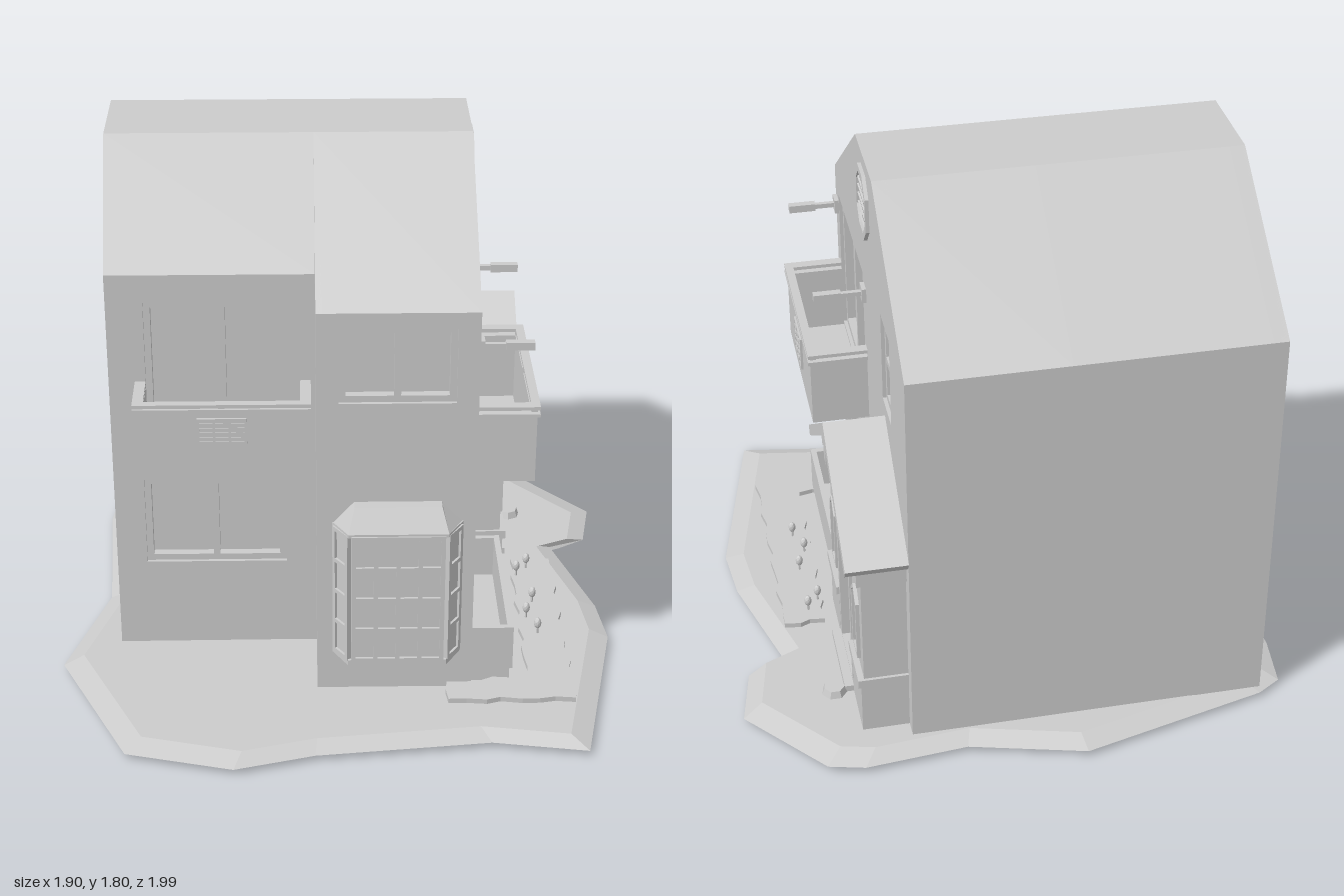
import * as THREE from 'three';

const mat = new THREE.MeshStandardMaterial({ color: 0xcccccc, flatShading: true, side: THREE.DoubleSide });

function add(parent, name, geo) {
  const m = new THREE.Mesh(geo, mat);
  m.name = name;
  parent.add(m);
  return m;
}
// Box given by its limits
function box(parent, name, x0, x1, y0, y1, z0, z1) {
  const m = add(parent, name, new THREE.BoxGeometry(x1 - x0, y1 - y0, z1 - z0));
  m.position.set((x0 + x1) / 2, (y0 + y1) / 2, (z0 + z1) / 2);
  return m;
}
const vecs = pts => pts.map(p => new THREE.Vector2(...p));
const rect = (x0, x1, y0, y1) => [[x0, y0], [x1, y0], [x1, y1], [x0, y1]];

// Plate in the XY plane from z0 to z1, with holes given as outlines
function plate(parent, name, pts, z0, z1, holes = []) {
  const s = new THREE.Shape(vecs(pts));
  holes.forEach(h => s.holes.push(new THREE.Path(vecs(h))));
  const g = new THREE.ExtrudeGeometry(s, { depth: z1 - z0, bevelEnabled: false });
  g.translate(0, 0, z0);
  return add(parent, name, g);
}
// A group lying on a wall: its local +z points out of the wall
function face(root, name, x, z, turn) {
  const g = new THREE.Group();
  g.name = name;
  g.position.set(x, 0, z);
  g.rotation.y = turn;
  root.add(g);
  return g;
}
// Frame with cols x rows openings over a back panel
function lattice(parent, name, x0, x1, y0, y1, cols, rows, bar, zBack, zFront) {
  const g = new THREE.Group();
  g.name = name;
  parent.add(g);
  const w = (x1 - x0 - bar) / cols, h = (y1 - y0 - bar) / rows, holes = [];
  for (let i = 0; i < cols; i++) for (let j = 0; j < rows; j++)
    holes.push(rect(x0 + bar + i * w, x0 + (i + 1) * w, y0 + bar + j * h, y0 + (j + 1) * h));
  plate(g, 'frame', rect(x0, x1, y0, y1), zBack, zFront, holes);
  box(g, 'panel', x0, x1, y0, y1, zBack - 0.005, zBack + 0.004);
  return g;
}
const wallWindow = (p, n, r, cols, rows = 1) => lattice(p, n, ...r, cols, rows, 0.022, -0.045, -0.012);

// Open balcony with floor, parapet, handrail, posts and a grille
function balcony(parent, x0, x1, y0, y1, d, top, gr) {
  const g = new THREE.Group(), t = 0.02;
  g.name = 'balcony';
  parent.add(g);
  box(g, 'floor', x0, x1, y0, y0 + t, 0, d);
  box(g, 'parapetFront', x0, x1, y0, y1, d - t, d);
  for (const x of [x0, x1 - t]) box(g, 'parapetSide', x, x + t, y0, y1, 0, d);
  for (const [a, b] of [[y1 - 0.004, y1 + 0.008], [top - 0.012, top]]) {
    box(g, 'railFront', x0 - 0.015, x1 + 0.015, a, b, d - t, d + 0.008);
    for (const x of [x0 - 0.015, x1 - t]) box(g, 'railSide', x, x + t + 0.015, a, b, 0, d);
  }
  for (const x of [x0, (x0 + x1) / 2 - 0.01, x1 - t]) box(g, 'railPost', x, x + t, y1, top, d - t, d);
  lattice(g, 'grille', ...gr, 3, 5, 0.008, d + 0.001, d + 0.008);
}
// Octagonal vent with slats
function vent(parent, x, y, rx, ry, z, slats) {
  const oct = k => [[-.45, -1], [.45, -1], [1, -.5], [1, .5], [.45, 1], [-.45, 1], [-1, .5], [-1, -.5]]
    .map(([a, b]) => [x + a * rx * k, y + b * ry * k]);
  plate(parent, 'ventFrame', oct(1), z, z + 0.012, [oct(0.8)]);
  for (let i = 0; i < slats; i++) {
    const v = -0.66 + 1.32 * i / (slats - 1), w = rx * (Math.abs(v) > 0.5 ? 0.5 : 0.76);
    box(parent, 'ventSlat', x - w, x + w, y + v * ry - ry * 0.1, y + v * ry + ry * 0.1, z, z + 0.006).rotation.x = 0.3;
  }
}
// Strip swept along x through a (z, y) profile
function roofStrip(parent, name, x0, x1, prof) {
  const p = [];
  for (let i = 0; i < prof.length - 1; i++) {
    const [za, ya] = prof[i], [zb, yb] = prof[i + 1];
    p.push(x0, ya, za, x0, yb, zb, x1, yb, zb, x0, ya, za, x1, yb, zb, x1, ya, za);
  }
  const g = new THREE.BufferGeometry();
  g.setAttribute('position', new THREE.Float32BufferAttribute(p, 3));
  g.computeVertexNormals();
  add(parent, name, g);
}
// Irregular ground slab: rings of one outline at several scales and heights
function ground(parent) {
  const o = [[-.13, -1], [.25, -.9], [.59, -.93], [.71, -.9], [.95, -.62], [.91, -.41], [.78, -.36], [.9, .05], [.92, .25],
    [.78, .91], [.47, .86], [-.1, .92], [-.36, .99], [-.71, .9], [-.95, .39], [-.82, -.04], [-.86, -.6], [-.84, -.79], [-.76, -.84]];
  const rings = [[0, .045], [.93, .042], [1, .02], [.9, .01], [0, .01]], p = [];
  const at = (r, i) => { const [x, z] = o[i % o.length]; return [x * rings[r][0], rings[r][1], z * rings[r][0]]; };
  for (let r = 0; r < rings.length - 1; r++) for (let i = 0; i < o.length; i++) {
    if (r > 0) p.push(...at(r, i), ...at(r, i + 1), ...at(r + 1, i));
    if (r < 3) p.push(...at(r, i + 1), ...at(r + 1, i + 1), ...at(r + 1, i));
  }
  const g = new THREE.BufferGeometry();
  g.setAttribute('position', new THREE.Float32BufferAttribute(p, 3));
  g.computeVertexNormals();
  add(parent, 'ground', g);
}

export function createModel() {
  const root = new THREE.Group();
  root.name = 'house';
  ground(root);

  // Roof
  roofStrip(root, 'rightRoof', -0.09, 0.42, [[-.83, 1.41], [-.29, 1.8], [.03, 1.8], [.57, 1.41]]);
  roofStrip(root, 'leftRoof', -0.76, -0.09, [[-.83, 1.41], [-.29, 1.8], [.03, 1.8], [.28, 1.415]]);
  box(root, 'backWall', -0.76, 0.42, 0.04, 1.41, -0.83, -0.8);

  // Front of the left wing
  const fl = face(root, 'leftWingFront', 0, 0.28, 0);
  const lw = [-.66, -.19, .36, .675], lu = [-.64, -.14, .87, 1.32];
  plate(fl, 'wall', rect(-.76, -.09, .04, 1.415), -0.05, 0, [rect(...lw), rect(...lu)]);
  wallWindow(fl, 'lowerWindow', lw, 2);
  wallWindow(fl, 'balconyDoor', lu, 2);
  balcony(fl, -.66, -.12, .85, 1.015, .165, 1.04, [-.47, -.31, .9, .99]);

  // Front of the right wing with its bay window
  const fr = face(root, 'rightWingFront', 0, 0.57, 0);
  const uw = [-.02, .35, 1.1, 1.36];
  plate(fr, 'wall', rect(-.09, .42, .04, 1.41), -0.05, 0, [rect(...uw)]);
  wallWindow(fr, 'upperWindow', uw, 2);
  const bayPlan = k => [[-.03 - k, 0], [.37 + k, 0], [.32 + k, -.075 - k], [.02 - k, -.075 - k]];
  for (const [n, k, y, h] of [['bayBody', 0, .2, .47], ['baySill', .01, .185, .02], ['bayCornice', .01, .665, .012]]) {
    const m = plate(fr, n, bayPlan(k), 0, h);
    m.rotation.x = -Math.PI / 2;
    m.position.y = y;
  }
  lattice(fr, 'bayFrontPanes', .02, .32, .2, .67, 4, 4, .014, .077, .09);
  for (const s of [-1, 1]) {
    const side = face(fr, 'bayside', .17 + s * .177, .04, s * 0.98);
    lattice(side, 'baySidePanes', -.042, .042, .2, .67, 1, 4, .014, .0, .012);
  }
  const cap = new THREE.BoxGeometry(1, 1, 1), cp = cap.attributes.position;
  for (let i = 0; i < cp.count; i++) {
    const up = cp.getY(i) > 0, out = cp.getZ(i) > 0, s = Math.sign(cp.getX(i));
    cp.setXYZ(i, .17 + s * (up ? .14 : out ? .16 : .205), up ? .75 : .677, out ? (up ? .04 : .085) : 0);
  }
  cap.computeVertexNormals();
  add(fr, 'bayRoof', cap);

  // Left gable and the short return between the wings
  const left = face(root, 'leftGable', -0.76, 0, -Math.PI / 2);
  const sw = [-.18, .13, .95, 1.3];
  plate(left, 'wall', [[-.83, .04], [.28, .04], [.28, 1.415], [.03, 1.8], [-.29, 1.8], [-.83, 1.41]], -0.05, 0, [rect(...sw)]);
  wallWindow(left, 'window', sw, 2);
  const ret = face(root, 'wingReturn', -0.09, 0, -Math.PI / 2);
  plate(ret, 'wall', [[.28, .04], [.57, .04], [.57, 1.41], [.03, 1.8], [.28, 1.415]], -0.02, 0);

  // Right gable; local x runs towards the back
  const right = face(root, 'rightGable', 0.42, 0, Math.PI / 2);
  const bd = [-.5, .03, .82, 1.33], gd = [-.505, .025, .1, .65], tw = [.395, .555, 1.08, 1.39];
  plate(right, 'wall', [[-.57, .04], [.83, .04], [.83, 1.41], [.29, 1.8], [-.03, 1.8], [-.57, 1.41]], -0.05, 0,
    [bd, gd, tw].map(r => rect(...r)));
  wallWindow(right, 'balconyDoor', bd, 2);
  wallWindow(right, 'smallWindow', tw, 1, 2);
  wallWindow(right, 'groundWindow', [-.505, .025, .1, .55], 2);
  wallWindow(right, 'transom', [-.505, .025, .53, .65], 2);
  box(right, 'lowWallFront', -.54, .06, .09, .25, .12, .14);
  for (const x of [-.54, .04]) box(right, 'lowWallSide', x, x + .02, .09, .25, 0, .13);
  box(right, 'lowWallFloor', -.54, .06, .04, .1, 0, .13);
  balcony(right, -.515, .07, .79, 1.03, .19, 1.063, [-.3, -.145, .865, .985]);
  vent(right, .122, 1.64, .1, .115, 0, 6);

  // Wall lamps
  for (const x of [-.53, .075]) {
    box(right, 'lampBase', x - .025, x + .025, 1.255, 1.305, 0, .014);
    box(right, 'lampArm', x - .008, x + .008, 1.272, 1.288, 0, .09);
    box(right, 'lampHead', x - .013, x + .013, 1.267, 1.293, .08, .17);
  }

  // Porch
  const porch = new THREE.Group(), c = .43, d = .145;
  porch.name = 'porch';
  right.add(porch);
  const door = rect(c - .14, c + .14, .07, .61);
  const lancet = (x, k) => [[x - k, .3 + (.05 - k) * .5], [x + k, .3 + (.05 - k) * .5], [x + k, .52], [x, .57 - (.05 - k)], [x - k, .52]];
  plate(porch, 'wall', [[.09, .04], [.77, .04], [.77, .76], [c, 1.0], [.09, .76]], 0, d, [door]);
  plate(porch, 'roof', [[.02, .75], [c, 1.035], [.84, .75], [.82, .72], [c, .985], [.04, .72]], 0, .2);
  plate(porch, 'gableTrim', [[.07, .74], [c, .985], [.79, .74], [.77, .71], [c, .945], [.09, .71]], 0, d + .02);
  plate(porch, 'doorFrame', rect(c - .14, c + .14, .06, .61), d - .05, d + .01, [rect(c - .115, c + .115, .07, .59)]);
  box(porch, 'door', c - .13, c + .13, .06, .6, d - .05, d - .02);
  vent(porch, c, .81, .058, .065, d, 5);
  for (const s of [-1, 1]) {
    const x = c + s * .238, e = c + s * .335;
    plate(porch, 'sideWindowFrame', lancet(x, .05), d, d + .012, [lancet(x, .034)]);
    box(porch, 'eaveReturn', e - .022, e + .022, .645, .75, 0, d + .015);
    const a = Math.min(c + s * .145, c + s * .345), b = a + .2;
    box(porch, 'plinth', a, b, .04, .23, 0, d + .01);
    box(porch, 'plinthCap', a - .005, b + .005, .225, .255, 0, d + .02);
  }
  box(porch, 'doorstep', c - .15, c + .15, .04, .065, d, d + .04);

  // Garden bed with a wavy edge, plants and stones
  const corners = [[.62, -.21], [.76, -.21], [.76, .67], [.34, .67], [.34, .57], [.61, .54]], edge = [];
  corners.forEach(([x, z], i) => {
    const [u, v] = corners[(i + 1) % corners.length], n = Math.ceil(Math.hypot(u - x, v - z) / .06);
    for (let k = 0; k < n; k++) {
      const t = k / n, w = k ? .008 * Math.sin(k * 2.3 + i) : 0;
      edge.push([x + (u - x) * t + w, -(z + (v - z) * t + w)]);
    }
  });
  const bed = plate(root, 'gardenBed', edge, .03, .06);
  bed.rotation.x = -Math.PI / 2;
  [[.67, .28], [.64, .18], [.67, .08], [.63, -.1], [.67, -.15]].forEach(([x, z]) => {
    const stem = add(root, 'plantStem', new THREE.CylinderGeometry(.004, .004, .045, 5));
    stem.position.set(x, .075, z);
    const bud = add(root, 'plantBud', new THREE.IcosahedronGeometry(.013, 1));
    bud.position.set(x, .1, z);
    bud.scale.y = 1.6;
  });
  const stone = add(root, 'stone', new THREE.CylinderGeometry(.035, .045, .03, 7));
  stone.position.set(.64, .052, -.57);
  box(root, 'buriedSlab', .21, .38, 0, .03, .53, .68);
  return root;
}
